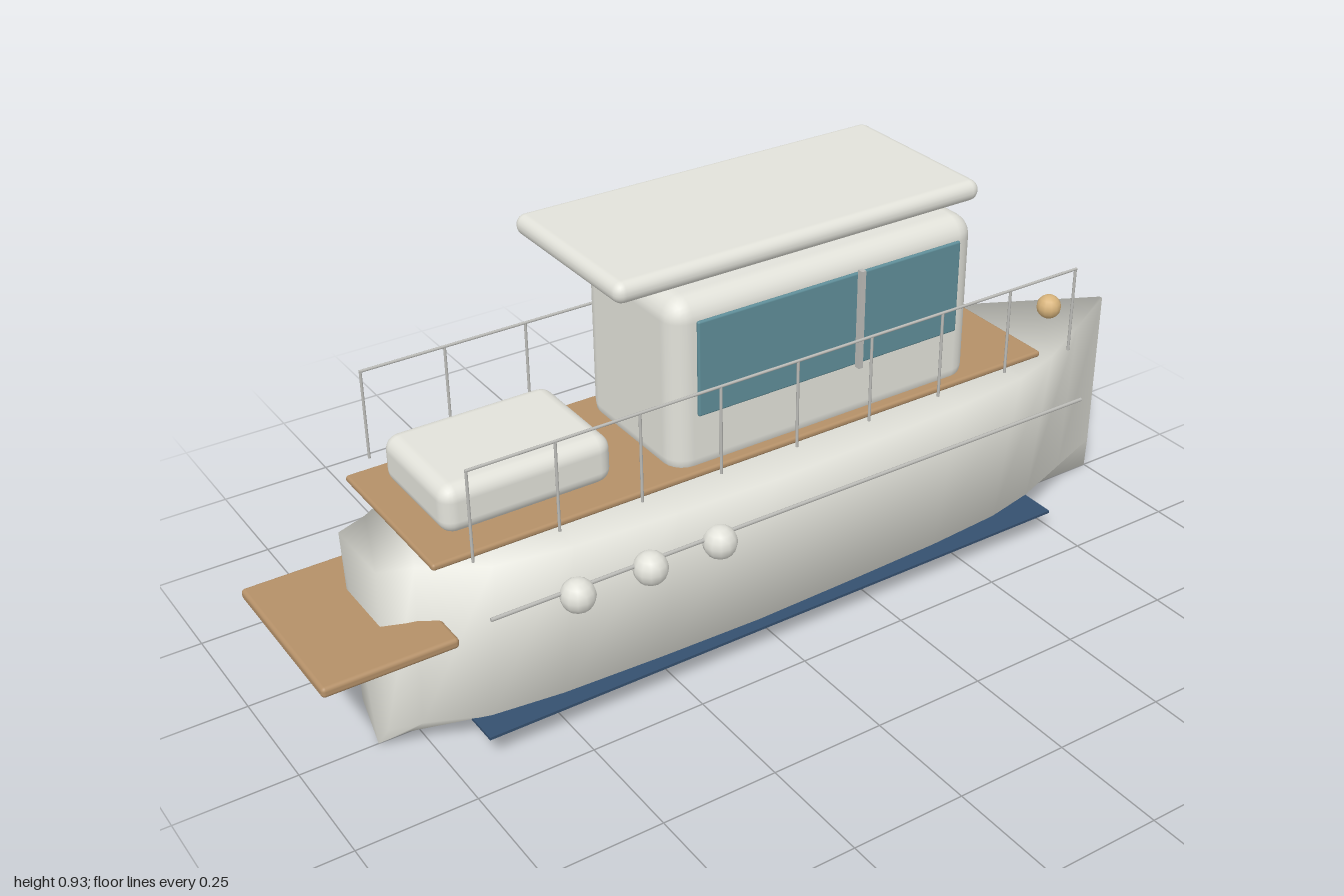
import * as THREE from 'three';
import { RoundedBoxGeometry } from 'three/addons/geometries/RoundedBoxGeometry.js';

const mat = (name, color, side = THREE.FrontSide) => {
  const m = new THREE.MeshStandardMaterial({ color, side });
  m.name = name;
  return m;
};

// Hull lofted through five-point stations: keel, chine, sheer, sheer, chine
function hullGeometry() {
  const stations = [ // x, half-width at the sheer
    [-0.835, 0.08], [-0.77, 0.105], [-0.65, 0.18], [-0.5, 0.205], [-0.28, 0.218], [-0.05, 0.225],
    [0.2, 0.216], [0.42, 0.205], [0.6, 0.185], [0.72, 0.148], [0.86, 0.076], [1, 0.004],
  ];
  const pos = [], idx = [], n = 5;
  for (const [x, w] of stations) {
    const c = w * 0.7;
    pos.push(x, 0, 0, x, 0.07, c, x, 0.445, w, x, 0.445, -w, x, 0.07, -c);
  }
  for (let i = 0; i < stations.length - 1; i++) {
    for (let j = 0; j < n; j++) {
      const a = i * n + j, b = i * n + (j + 1) % n;
      idx.push(a, a + n, b + n, a, b + n, b);
    }
  }
  const e = (stations.length - 1) * n;
  for (let j = 1; j < n - 1; j++) idx.push(0, j, j + 1, e, e + j + 1, e + j);
  const g = new THREE.BufferGeometry();
  g.setAttribute('position', new THREE.Float32BufferAttribute(pos, 3));
  g.setIndex(idx);
  g.computeVertexNormals();
  return g;
}

export function createModel() {
  const boat = new THREE.Group();
  boat.name = 'boat';
  const white = mat('hullWhite', 0xe2e2da);
  const wood = mat('teak', 0xb49068);
  const glass = mat('tintedGlass', 0x5f8e99);
  const navy = mat('navy', 0x35506f);
  const brass = mat('brass', 0xd8b47c);
  const steel = mat('steel', 0xbcbcb8);

  const add = (name, geo, material, x = 0, y = 0, z = 0) => {
    const m = new THREE.Mesh(geo, material);
    m.name = name;
    m.position.set(x, y, z);
    boat.add(m);
    return m;
  };
  // Rounded block given by its minimum and maximum x and y, and its half-depth
  const block = (name, material, x0, x1, y0, y1, hz, r) =>
    add(name, new RoundedBoxGeometry(x1 - x0, y1 - y0, hz * 2, 3, r), material, (x0 + x1) / 2, (y0 + y1) / 2);
  // Thin round bar along x
  const bar = (name, x0, x1, y, z, r) => {
    const m = add(name, new THREE.CylinderGeometry(r, r, x1 - x0, 8), steel, (x0 + x1) / 2, y, z);
    m.rotation.z = Math.PI / 2;
  };

  add('hull', hullGeometry(), white);
  block('deck', wood, -0.77, 0.65, 0.48, 0.494, 0.183, 0.006);
  block('swimPlatform', wood, -1, -0.73, 0.3, 0.322, 0.186, 0.008);
  block('cabin', white, -0.25, 0.47, 0.465, 0.845, 0.163, 0.045);
  block('roof', white, -0.38, 0.45, 0.891, 0.934, 0.19, 0.021);
  block('sunPad', white, -0.715, -0.36, 0.495, 0.596, 0.128, 0.03);

  // Fittings mirrored on both sides
  for (const s of [1, -1]) {
    add('window', new RoundedBoxGeometry(0.62, 0.2, 0.009, 2, 0.004), glass, 0.11, 0.705, s * 0.168);
    add('windowPost', new THREE.BoxGeometry(0.01, 0.21, 0.013), steel, 0.16, 0.715, s * 0.191);
    add('bottomStrake', new THREE.BoxGeometry(1.41, 0.006, 0.112), navy, 0.025, 0.056, s * 0.116);
    bar('rubbingRail', -0.68, 0.75, 0.36, s * 0.215, 0.004);
    bar('handRail', -0.707, 0.703, 0.684, s * 0.213, 0.003);
    for (let i = 0; i < 9; i++) {
      add('railPost', new THREE.CylinderGeometry(0.003, 0.003, 0.19, 8), steel, -0.705 + i * 0.1756, 0.59, s * 0.213);
    }
    for (const x of [-0.505, -0.347, -0.19]) {
      add('fender', new THREE.SphereGeometry(0.035, 12, 8), white, x, 0.351, s * 0.225);
    }
    add('bowLamp', new THREE.SphereGeometry(0.026, 12, 8), brass, 0.682, 0.582, s * 0.163);
  }
  return boat;
}
